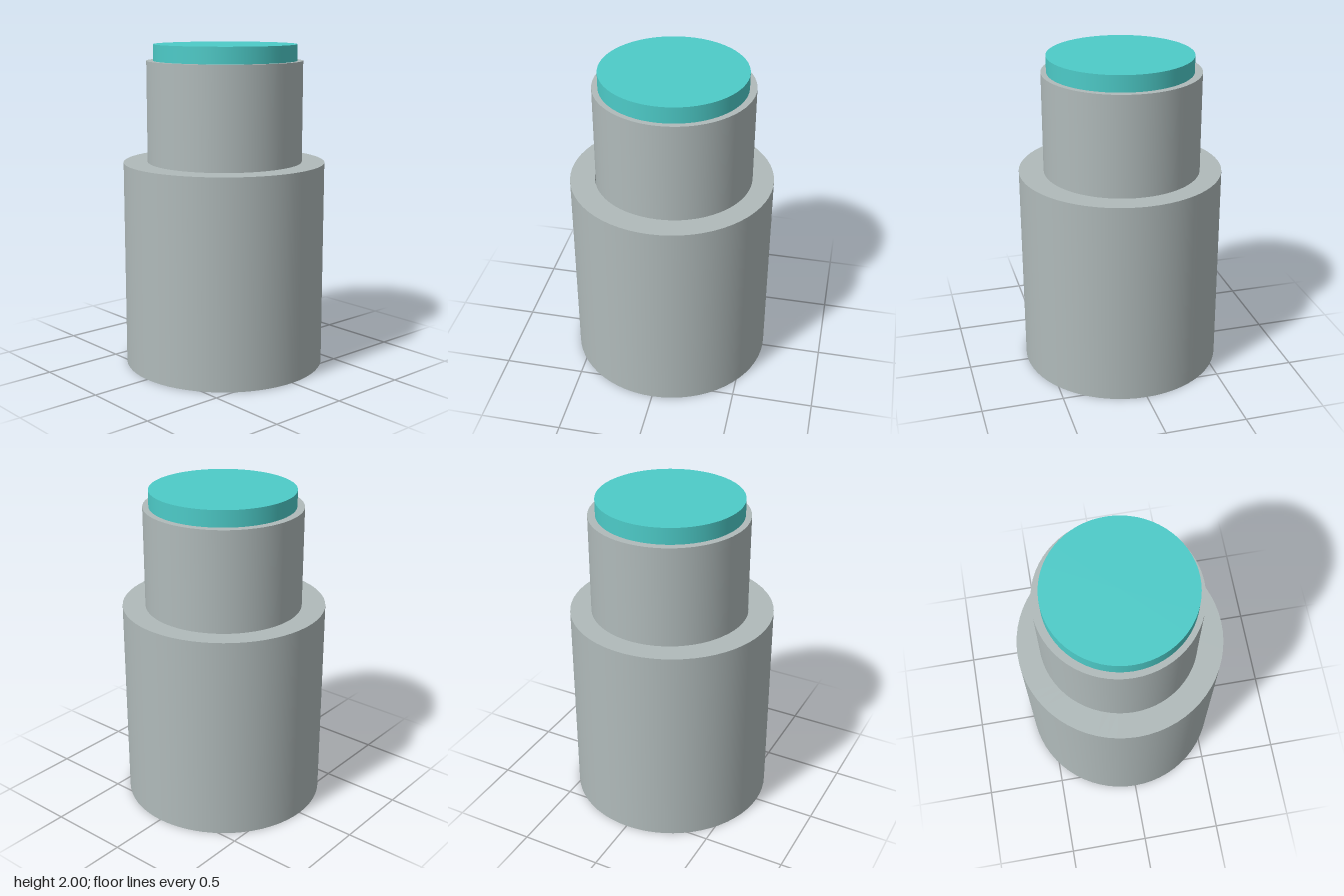
import * as THREE from 'three';

const SEGMENTS = 64;

export function createModel() {
  const model = new THREE.Group();
  const grey = new THREE.MeshStandardMaterial({ color: 0xb0baba });
  grey.name = 'grey metal';
  const teal = new THREE.MeshStandardMaterial({ color: 0x4dcbc8 });
  teal.name = 'teal';

  const add = (name, geometry, material, x, y, z) => {
    const mesh = new THREE.Mesh(geometry, material);
    mesh.name = name;
    mesh.position.set(x, y, z);
    model.add(mesh);
  };
  // Upright solid cylinder between two heights
  const rod = (name, radius, bottom, top, material, x, z) =>
    add(name, new THREE.CylinderGeometry(radius, radius, top - bottom, SEGMENTS),
      material, x, (bottom + top) / 2, z);

  // Wide outer sleeve with an open bore
  const ring = new THREE.Shape().absarc(0, 0, 0.623, 0, Math.PI * 2, false);
  ring.holes.push(new THREE.Path().absarc(0, 0, 0.471, 0, Math.PI * 2, true));
  const outer = 0.623, bore = 0.471, height = 1.28;
  const wall = (r, up) => [new THREE.Vector2(r, up ? 0 : height), new THREE.Vector2(r, up ? height : 0)];
  add('sleeveOuterWall', new THREE.LatheGeometry(wall(outer, true), SEGMENTS), grey, 0, 0, 0);
  add('sleeveBore', new THREE.LatheGeometry(wall(bore, false), SEGMENTS), grey, 0, 0, 0);
  const rim = new THREE.RingGeometry(bore, outer, SEGMENTS);
  add('sleeveTopRim', rim.clone().rotateX(-Math.PI / 2), grey, 0, height, 0);
  add('sleeveBottomRim', rim.clone().rotateX(Math.PI / 2), grey, 0, 0, 0);

  // Narrower inner cylinder, seated slightly off centre in the bore
  rod('innerCylinder', 0.48, 0.62, 1.9, grey, 0.012, -0.007);

  // Coloured end cap
  rod('endCap', 0.44, 1.88, 2, teal, 0.01, 0);

  return model;
}
